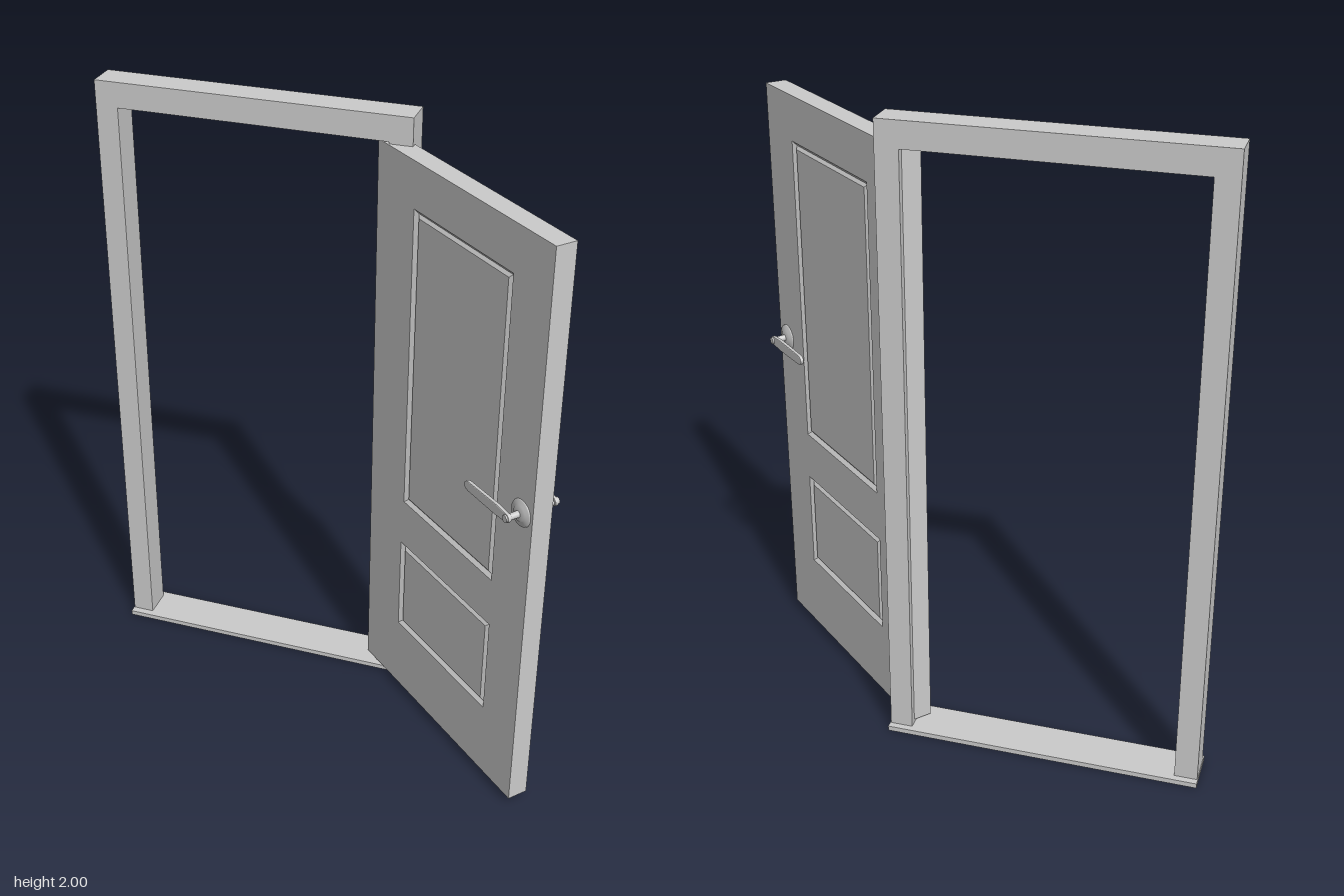
import * as THREE from 'three';

const material = new THREE.MeshStandardMaterial({ color: 0xcccccc });
const W = 0.838, T = 0.067, Y0 = 0.027, Y1 = 1.914; // door leaf width, thickness, bottom, top

function add(parent, geometry, name, x = 0, y = 0, z = 0) {
  const mesh = new THREE.Mesh(geometry, material);
  mesh.name = name;
  mesh.position.set(x, y, z);
  parent.add(mesh);
  return mesh;
}

function polygon(points, Type = THREE.Shape) {
  return new Type(points.map(([x, y]) => new THREE.Vector2(x, y)));
}

const rectangle = (x0, x1, y0, y1) => [[x0, y0], [x1, y0], [x1, y1], [x0, y1]];

// Nested rectangles stepping through [inset, depth] rings, closed by a flat panel
function panelGeometry([x0, x1, y0, y1]) {
  const rings = [[0, 0], [0.012, -0.01], [0.022, -0.003]].map(([i, z]) =>
    rectangle(x0 + i, x1 - i, y0 + i, y1 - i).map(([x, y]) => [x, y, z]));
  const positions = [];
  const quad = (a, b, c, d) => positions.push(...a, ...b, ...c, ...a, ...c, ...d);
  for (let r = 0; r < rings.length - 1; r++) {
    for (let k = 0; k < 4; k++) {
      const n = (k + 1) % 4;
      quad(rings[r][k], rings[r][n], rings[r + 1][n], rings[r + 1][k]);
    }
  }
  quad(...rings[rings.length - 1]);
  const geometry = new THREE.BufferGeometry();
  geometry.setAttribute('position', new THREE.Float32BufferAttribute(positions, 3));
  geometry.computeVertexNormals();
  return geometry;
}

// Lever handle standing out along +z, grip running along direction dir in x
function createHandle(dir) {
  const handle = new THREE.Group();
  handle.name = 'handle';
  const rosette = new THREE.LatheGeometry(
    [[0.043, 0], [0.041, 0.005], [0.026, 0.007], [0.022, 0.012], [0, 0.012]]
      .map(([r, h]) => new THREE.Vector2(r, h)), 28);
  add(handle, rosette, 'rosette').rotation.x = Math.PI / 2;
  const spindle = new THREE.CylinderGeometry(0.009, 0.011, 0.05, 16);
  add(handle, spindle, 'spindle', 0, 0, 0.03).rotation.x = Math.PI / 2;
  const cap = new THREE.CylinderGeometry(0.011, 0.012, 0.018, 16);
  add(handle, cap, 'spindleCap', 0, 0, 0.05).rotation.x = Math.PI / 2;

  // Slightly tapered grip with rounded ends
  const grip = new THREE.Shape();
  grip.moveTo(0, -0.014);
  grip.absarc(0, 0, 0.014, -Math.PI / 2, Math.PI / 2, false);
  grip.lineTo(-0.05, 0.018);
  grip.lineTo(-0.185, 0.016);
  grip.quadraticCurveTo(-0.204, 0.013, -0.204, 0);
  grip.quadraticCurveTo(-0.204, -0.013, -0.185, -0.016);
  grip.lineTo(-0.05, -0.018);
  grip.closePath();
  const geometry = new THREE.ExtrudeGeometry(grip, {
    depth: 0.006, bevelSize: 0.002, bevelThickness: 0.003, bevelOffset: -0.002, bevelSegments: 2, curveSegments: 10,
  });
  // Turned about y to face the other way, so it is recentred in depth first
  geometry.translate(0, 0, -0.003);
  const lever = add(handle, geometry, 'lever', 0, 0, 0.048);
  if (dir > 0) lever.rotation.y = Math.PI;
  return handle;
}

function createDoor() {
  const door = new THREE.Group();
  door.name = 'door';
  const panels = { upperPanel: [0.195, 0.672, 0.768, 1.77], lowerPanel: [0.186, 0.676, 0.278, 0.606] };

  // Leaf with openings for the two panels
  const outline = polygon(rectangle(0, W, Y0, Y1));
  for (const p of Object.values(panels)) outline.holes.push(polygon(rectangle(...p), THREE.Path));
  const leaf = new THREE.ExtrudeGeometry(outline, { depth: T, bevelEnabled: false });
  add(door, leaf, 'leaf', 0, 0, -T / 2);

  // Moulded panels and handles on both faces
  for (const side of [1, -1]) {
    for (const [name, [x0, x1, y0, y1]] of Object.entries(panels)) {
      const span = side > 0 ? [x0, x1, y0, y1] : [-x1, -x0, y0, y1];
      const panel = add(door, panelGeometry(span), name, 0, 0, side * T / 2);
      if (side < 0) panel.rotation.y = Math.PI;
    }
    const handle = createHandle(-side);
    handle.position.set(0.786, 1.078, side * T / 2);
    if (side < 0) handle.rotation.y = Math.PI;
    door.add(handle);
  }
  return door;
}

export function createModel() {
  const model = new THREE.Group();
  model.name = 'openDoor';

  // Frame: two jambs and a head
  const frame = polygon([
    [-0.785, 0.01], [-0.714, 0.01], [-0.714, 1.92], [0.135, 1.92],
    [0.135, 0.01], [0.206, 0.01], [0.206, 2], [-0.785, 2],
  ]);
  const frameGeometry = new THREE.ExtrudeGeometry(frame, { depth: 0.097, bevelEnabled: false });
  add(model, frameGeometry, 'frame', 0, 0, -0.31);

  // Sill under the frame
  add(model, new THREE.BoxGeometry(0.996, 0.016, 0.142), 'sill', -0.289, 0.008, -0.26);

  // Door swung open on its hinge side
  const door = createDoor();
  door.position.set(0.117, 0, -0.267);
  door.rotation.y = -0.719;
  model.add(door);
  return model;
}
